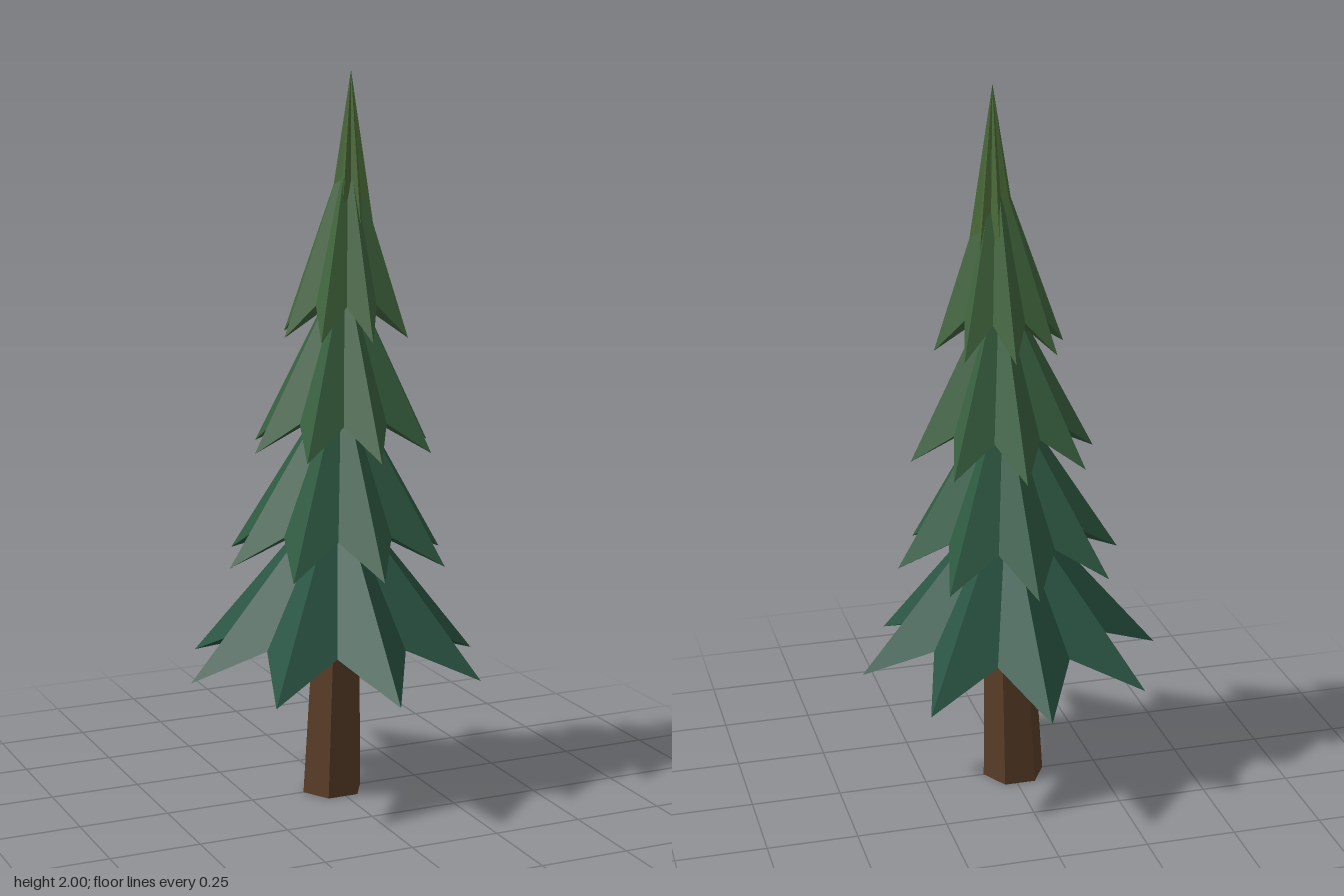
import * as THREE from 'three';

const POINTS = 8;

// One tier of boughs: a star-shaped cone with drooping tips and a hollowed underside.
function boughTier({ x, apexX, r, tipY, valleyR, valleyY, apexY, underY }) {
  const rim = [];
  for (let i = 0; i < POINTS * 2; i++) {
    const a = (i / (POINTS * 2)) * Math.PI * 2;
    const tip = i % 2 === 0;
    const rad = tip ? r : valleyR;
    rim.push([x + Math.cos(a) * rad, tip ? tipY : valleyY, Math.sin(a) * rad]);
  }
  const apex = [apexX, apexY, 0];
  const under = [x, underY, 0];
  const pos = [];
  rim.forEach((p, i) => {
    const q = rim[(i + 1) % rim.length];
    pos.push(...apex, ...q, ...p); // upper face
    pos.push(...under, ...p, ...q); // underside
  });
  const geo = new THREE.BufferGeometry();
  geo.setAttribute('position', new THREE.Float32BufferAttribute(pos, 3));
  geo.computeVertexNormals();
  return geo;
}

export function createModel() {
  const tree = new THREE.Group();
  tree.name = 'pineTree';

  const add = (name, geometry, color) => {
    const mesh = new THREE.Mesh(geometry, new THREE.MeshStandardMaterial({ color, flatShading: true }));
    mesh.name = name;
    tree.add(mesh);
  };

  // Six-sided trunk, tapering and leaning slightly toward +x
  const height = 0.56;
  const trunk = new THREE.CylinderGeometry(0.067, 0.0875, height, 6, 1, false, Math.PI / 2);
  trunk.translate(0, height / 2, 0);
  const p = trunk.attributes.position;
  for (let i = 0; i < p.count; i++) p.setX(i, p.getX(i) - 0.008 + 0.016 * (p.getY(i) / height));
  add('trunk', trunk, 0x5a3d28);

  // Bough tiers, bottom to top, shifting with the lean
  const tiers = [
    { x: 0, apexX: 0.01, r: 0.427, tipY: 0.36, valleyR: 0.265, valleyY: 0.455, apexY: 0.88, underY: 0.49, color: 0x2a5544 },
    { x: 0.005, apexX: 0.02, r: 0.316, tipY: 0.67, valleyR: 0.205, valleyY: 0.76, apexY: 1.19, underY: 0.79, color: 0x2f5a42 },
    { x: 0.022, apexX: 0.03, r: 0.258, tipY: 0.98, valleyR: 0.165, valleyY: 1.065, apexY: 1.49, underY: 1.1, color: 0x38603f },
    { x: 0.032, apexX: 0.04, r: 0.18, tipY: 1.29, valleyR: 0.115, valleyY: 1.38, apexY: 1.81, underY: 1.4, color: 0x40653d },
    { x: 0.047, apexX: 0.048, r: 0.07, tipY: 1.56, valleyR: 0.045, valleyY: 1.61, apexY: 2, underY: 1.62, color: 0x4a6a38 },
  ];
  tiers.forEach((t, i) => add(`boughTier${i + 1}`, boughTier(t), t.color));

  return tree;
}
